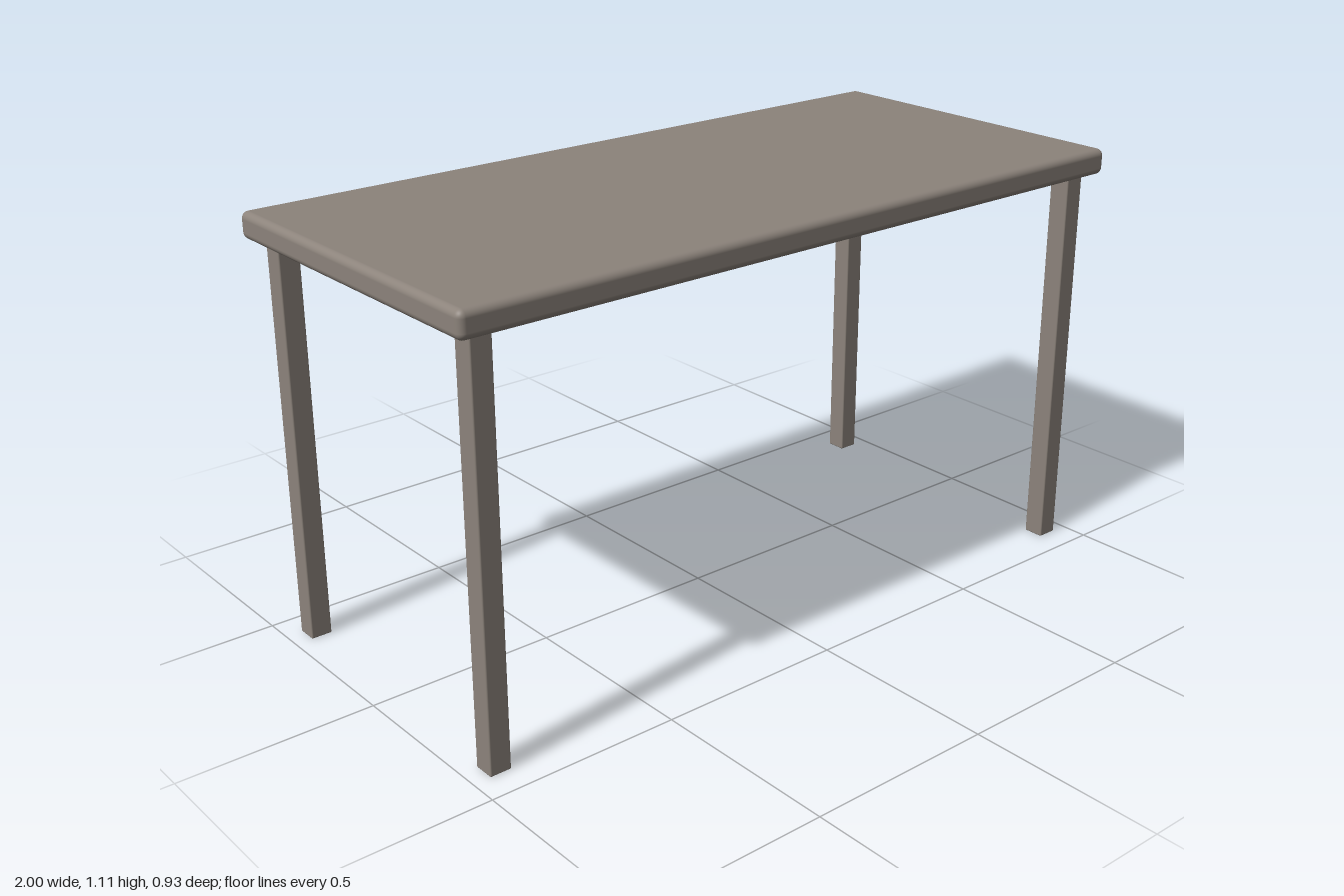
import * as THREE from 'three';
import { RoundedBoxGeometry } from 'three/addons/geometries/RoundedBoxGeometry.js';

export function createModel() {
  const table = new THREE.Group();
  table.name = 'table';
  const material = new THREE.MeshStandardMaterial({ color: 0x8c837b });
  material.name = 'warm grey';

  // Box with softened edges, placed by its bottom and top heights
  const addBlock = (name, width, depth, bottom, top, radius, x = 0, z = 0) => {
    const height = top - bottom;
    const mesh = new THREE.Mesh(new RoundedBoxGeometry(width, height, depth, 4, radius), material);
    mesh.name = name;
    mesh.position.set(x, bottom + height / 2, z);
    table.add(mesh);
  };

  // Rounded slab
  addBlock('tabletop', 2, 0.926, 1.04, 1.108, 0.018);

  // Four square legs, set in from the corners
  for (const [side, sx] of [['Left', 1], ['Right', -1]]) {
    for (const [end, sz] of [['front', 1], ['back', -1]]) {
      addBlock(`${end}${side}Leg`, 0.056, 0.056, 0, 1.046, 0.004, sx * 0.928, sz * 0.4);
    }
  }
  return table;
}
